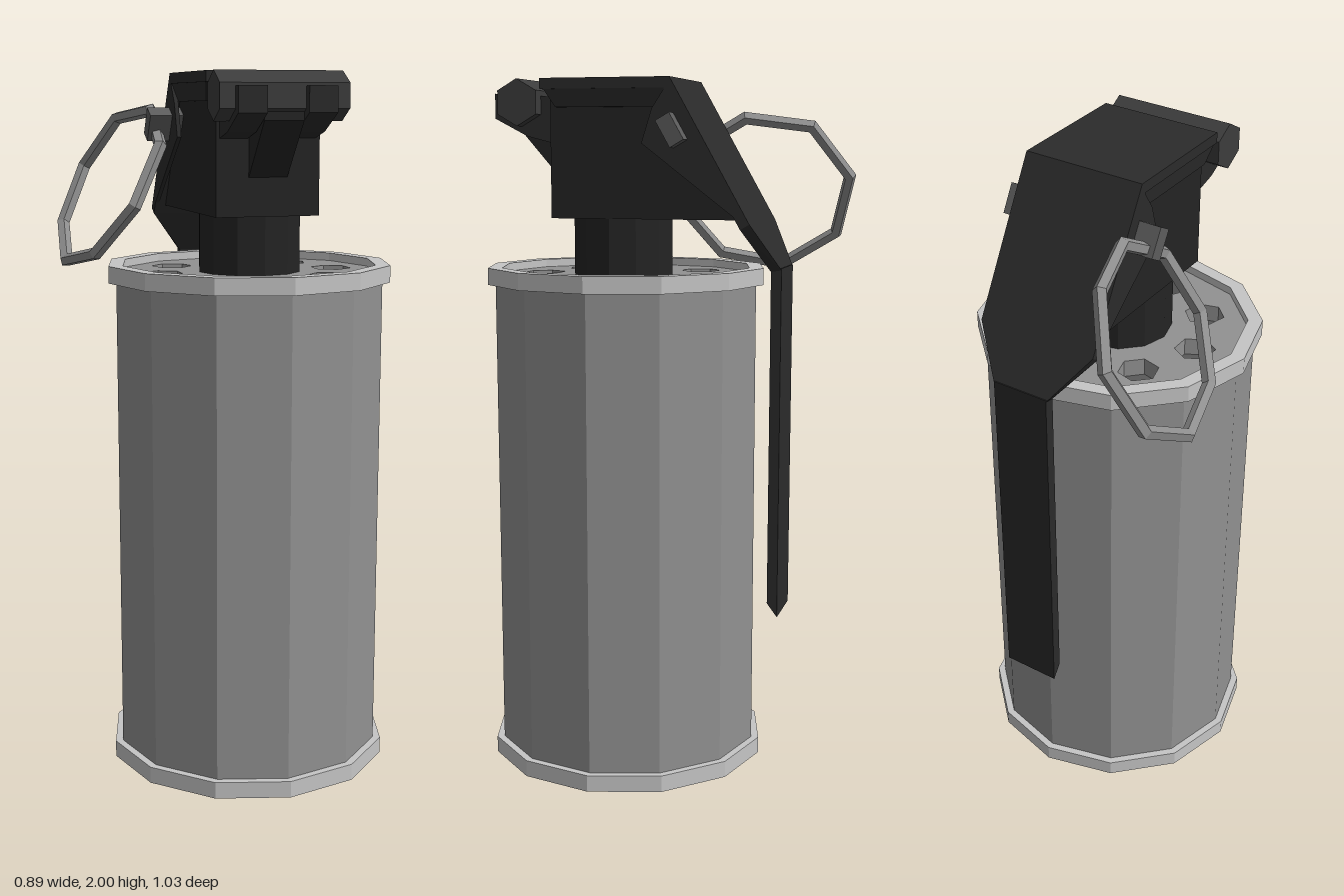
import * as THREE from 'three';
import { ConvexGeometry } from 'three/addons/geometries/ConvexGeometry.js';

const CX = 0.032, CZ = 0.107; // canister axis
const SIDES = 12;

const mat = (name, color) => {
  const m = new THREE.MeshStandardMaterial({ color, flatShading: true });
  m.name = name;
  return m;
};

export function createModel() {
  const group = new THREE.Group();
  const steel = mat('steel grey', 0x929292);
  const rimMetal = mat('light rim metal', 0xc6c6c6);
  const holeDark = mat('hole grey', 0x5a5a5a);
  const leverBlack = mat('lever black', 0x2b2b2b);
  const headBlack = mat('head black', 0x242424);
  const barGrey = mat('bar charcoal', 0x3c3c3c);
  const pinGrey = mat('pin grey', 0x5c5c5c);
  const ringMetal = mat('ring metal', 0x8e8e8e);

  const add = (name, geometry, material, x = 0, y = 0, z = 0) => {
    const mesh = new THREE.Mesh(geometry, material);
    mesh.name = name;
    mesh.position.set(x, y, z);
    group.add(mesh);
    return mesh;
  };
  const box = (x0, x1, y0, y1, z0, z1, name, material) =>
    add(name, new THREE.BoxGeometry(x1 - x0, y1 - y0, z1 - z0), material,
      (x0 + x1) / 2, (y0 + y1) / 2, (z0 + z1) / 2);
  // Side profile of [z, y] points, extruded from x0 to x1
  const profile = (name, points, x0, x1, material) => {
    const shape = new THREE.Shape(points.map(([z, y]) => new THREE.Vector2(-z, y)));
    const geo = new THREE.ExtrudeGeometry(shape, { depth: x1 - x0, bevelEnabled: false });
    return add(name, geo.rotateY(Math.PI / 2), material, x0);
  };
  const hull = (name, points, material) =>
    add(name, new ConvexGeometry(points.map(p => new THREE.Vector3(...p))), material);

  // Canister wall and floor
  add('canisterWall', new THREE.CylinderGeometry(0.388, 0.388, 1.39, SIDES, 1, true), steel, CX, 0.725, CZ);
  add('canisterFloor', new THREE.CylinderGeometry(0.38, 0.38, 0.02, SIDES), steel, CX, 0.03, CZ);

  // Top and bottom rims
  const rim = [[0.368, 0], [0.41, 0], [0.41, 0.048], [0.368, 0.048], [0.368, 0]]
    .map(([r, y]) => new THREE.Vector2(r, y));
  for (const [name, y] of [['bottomRim', 0], ['topRim', 1.42]]) {
    add(name, new THREE.LatheGeometry(rim, SIDES), rimMetal, CX, y, CZ);
  }

  // Top plate with a circle of eight hexagonal vents
  const polygon = (Type, x, y, r, n, turn) => {
    const pts = [];
    for (let i = 0; i < n; i++) {
      const a = turn + (i / n) * Math.PI * 2;
      pts.push(new THREE.Vector2(x + r * Math.cos(a), y + r * Math.sin(a)));
    }
    return new Type(pts);
  };
  const lid = polygon(THREE.Shape, 0, 0, 0.375, SIDES, Math.PI / 2);
  for (let i = 0; i < 8; i++) {
    const a = (i / 8) * Math.PI * 2;
    lid.holes.push(polygon(THREE.Path, 0.253 * Math.cos(a), 0.253 * Math.sin(a), 0.058, 6, a + Math.PI / 2));
  }
  const lidGeo = new THREE.ExtrudeGeometry(lid, { depth: 0.05, bevelEnabled: false });
  add('topPlate', lidGeo.rotateX(-Math.PI / 2), steel, CX, 1.395, CZ);
  add('ventFloor', new THREE.CylinderGeometry(0.37, 0.37, 0.01, SIDES), holeDark, CX, 1.388, CZ);

  // Neck and head block
  add('neck', new THREE.CylinderGeometry(0.147, 0.147, 0.19, SIDES), headBlack, CX, 1.53, 0.115);
  profile('head', [[0.286, 1.61], [0.286, 1.975], [-0.06, 1.975], [-0.265, 1.61]], -0.117, 0.18, headBlack);

  // Front hinge: bracket, cross bar and two clamps
  profile('hingeBracket', [[0.28, 1.71], [0.42, 1.87], [0.42, 1.9], [0.28, 1.94]], -0.024, 0.087, headBlack);
  const bar = new THREE.CylinderGeometry(0.066, 0.066, 0.36, 6).rotateZ(Math.PI / 2);
  bar.rotateX(Math.PI / 2);
  add('hingeBar', bar, barGrey, 0.03, 1.934, 0.376);
  for (const x of [-0.107, 0.087]) {
    profile('hingeClamp', [[0.28, 1.82], [0.36, 1.84], [0.457, 1.89], [0.457, 1.96], [0.28, 1.95]],
      x, x + 0.08, leverBlack);
  }

  // Safety lever: cover plate, taper and long strip
  profile('leverCover', [[0.307, 2], [-0.07, 2], [-0.298, 1.6], [-0.272, 1.585], [-0.053, 1.97], [0.307, 1.97]],
    -0.15, 0.21, leverBlack);
  hull('leverTaper', [
    [-0.15, 1.6, -0.298], [0.21, 1.6, -0.298], [-0.15, 1.585, -0.272], [0.21, 1.585, -0.272],
    [-0.05, 1.47, -0.372], [0.12, 1.47, -0.372], [-0.05, 1.465, -0.342], [0.12, 1.465, -0.342],
  ], leverBlack);
  profile('leverStrip', [[-0.372, 1.475], [-0.372, 0.46], [-0.342, 0.5], [-0.342, 1.475]], -0.05, 0.12, leverBlack);

  // Lever side flanges, mirrored about the head centre
  for (const s of [-1, 1]) {
    const outer = 0.03 + s * 0.18, mid = 0.03 + s * 0.168, inner = 0.03 + s * 0.147;
    hull('topFlange', [
      [outer, 1.985, 0.307], [outer, 1.985, -0.07], [inner, 1.985, 0.307], [inner, 1.985, -0.07],
      [mid, 1.92, 0.265], [mid, 1.92, -0.02], [inner, 1.92, 0.265], [inner, 1.92, -0.02],
    ], leverBlack);
    profile('slopeFlange', [[-0.07, 1.99], [-0.02, 1.915], [0.01, 1.82], [-0.265, 1.61], [-0.297, 1.6]],
      Math.min(outer, mid), Math.max(outer, mid), leverBlack);
  }

  // Cross pin, tilted with the lever slope
  const pin = box(-0.215, 0.255, 1.813, 1.897, -0.105, -0.06, 'safetyPin', pinGrey);
  pin.rotation.x = 0.52;

  // Pull ring hanging from the pin
  const ringPath = new THREE.CatmullRomCurve3([
    [-0.175, 1.895, -0.2], [-0.235, 1.87, -0.39], [-0.32, 1.72, -0.493], [-0.4, 1.55, -0.44],
    [-0.425, 1.45, -0.27], [-0.38, 1.48, -0.09], [-0.285, 1.62, 0.02], [-0.195, 1.79, -0.02],
  ].map(p => new THREE.Vector3(...p)), true);
  add('pullRing', new THREE.TubeGeometry(ringPath, 8, 0.02, 5, true), ringMetal);

  return group;
}
